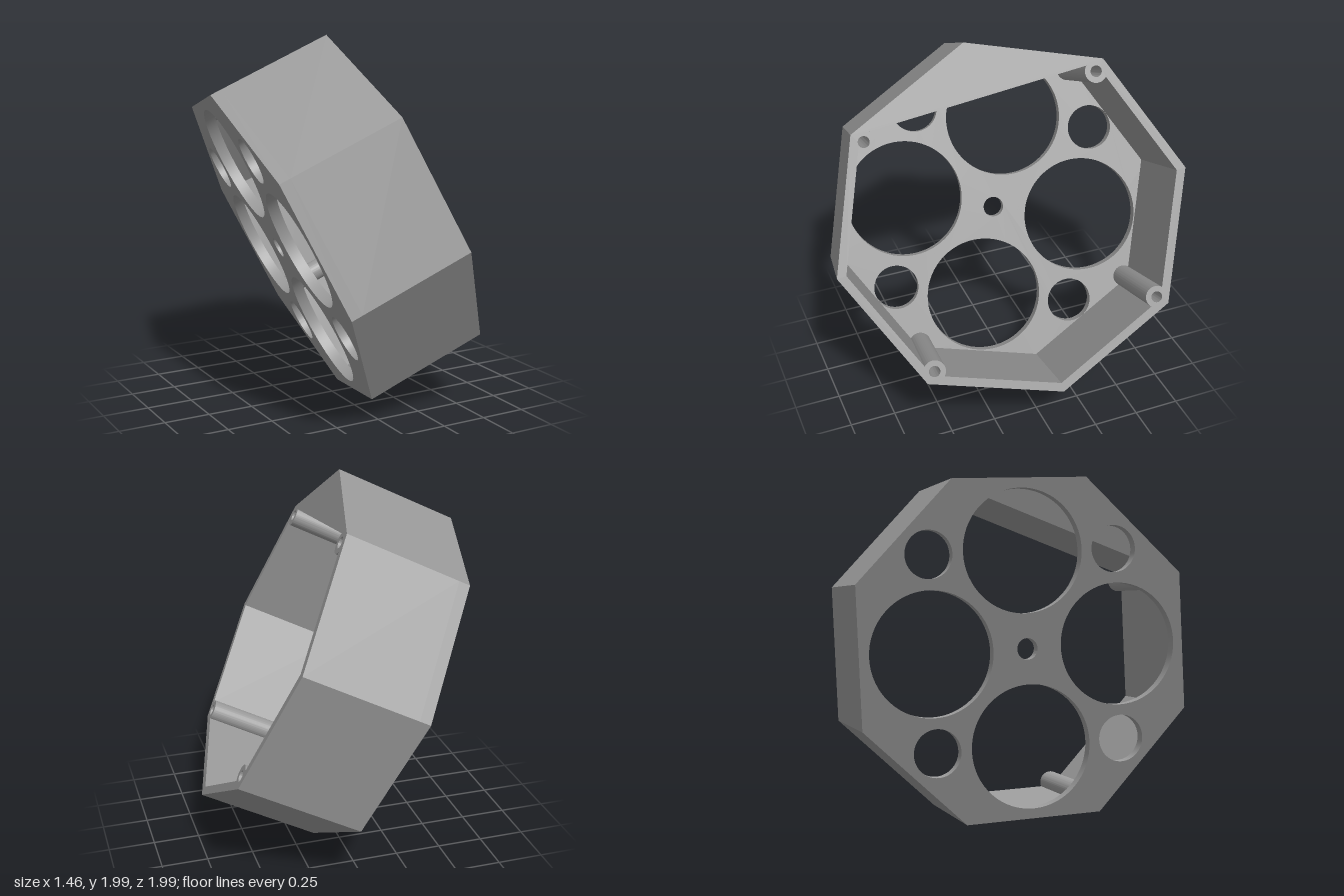
import * as THREE from 'three';
import { toCreasedNormals } from 'three/addons/utils/BufferGeometryUtils.js';

const R = 0.96, INNER = 0.91, DEPTH = 0.68, FLOOR = 0.06;
const POST_AT = 0.885, POST_R = 0.06, BORE_R = 0.03;
const rad = THREE.MathUtils.degToRad;
const polar = (r, deg) => [r * Math.cos(rad(deg)), r * Math.sin(rad(deg))];

function octagon() {
  const s = new THREE.Shape();
  for (let i = 0; i < 8; i++) s[i ? 'lineTo' : 'moveTo'](...polar(R, i * 45));
  s.closePath();
  return s;
}

function addHole(shape, r, dist, deg) {
  const [x, y] = polar(dist, deg);
  shape.holes.push(new THREE.Path().absarc(x, y, r, 0, Math.PI * 2, true));
}

function extrude(shape, depth) {
  const g = new THREE.ExtrudeGeometry(shape, { depth, bevelEnabled: false, curveSegments: 32 });
  return toCreasedNormals(g, 0.5);
}

export function createModel() {
  const grey = new THREE.MeshStandardMaterial({ color: 0x999999 });
  grey.name = 'grey';

  // Floor plate: four large holes, four small ones and a centre hole
  const floorShape = octagon();
  addHole(floorShape, 0.056, 0, 0);
  for (let k = 0; k < 4; k++) {
    addHole(floorShape, 0.325, 0.51, k * 90 - 22.5);
    addHole(floorShape, 0.125, 0.715, k * 90 + 22.5);
  }
  const floor = new THREE.Mesh(extrude(floorShape, FLOOR), grey);
  floor.name = 'floorPlate';
  floor.position.z = -DEPTH / 2;

  // Wall ring: its inner outline bulges into a screw post at every other corner
  const wallShape = octagon();
  const inside = new THREE.Path();
  for (let k = 0; k < 4; k++) {
    const corner = k * 90 + 45;
    inside[k ? 'lineTo' : 'moveTo'](...polar(INNER, k * 90));
    inside.absarc(...polar(POST_AT, corner), POST_R, rad(corner - 90), rad(corner - 270), true);
  }
  inside.closePath();
  wallShape.holes.push(inside);
  for (let k = 0; k < 4; k++) addHole(wallShape, BORE_R, POST_AT, k * 90 + 45);
  const walls = new THREE.Mesh(extrude(wallShape, DEPTH - FLOOR), grey);
  walls.name = 'wallsAndScrewPosts';
  walls.position.z = -DEPTH / 2 + FLOOR;

  // Tilt the housing so its open side looks sideways and up
  const housing = new THREE.Group();
  housing.name = 'octagonalHousing';
  housing.add(floor, walls);
  const n = new THREE.Vector3(0.891, 0.427, 0.155).normalize();
  const u = new THREE.Vector3(-0.448, 0.886, 0.115);
  const v = new THREE.Vector3().crossVectors(n, u).normalize();
  u.crossVectors(v, n);
  housing.quaternion.setFromRotationMatrix(new THREE.Matrix4().makeBasis(u, v, n));
  housing.position.y = 1;

  const model = new THREE.Group();
  model.name = 'model';
  model.add(housing);
  return model;
}
